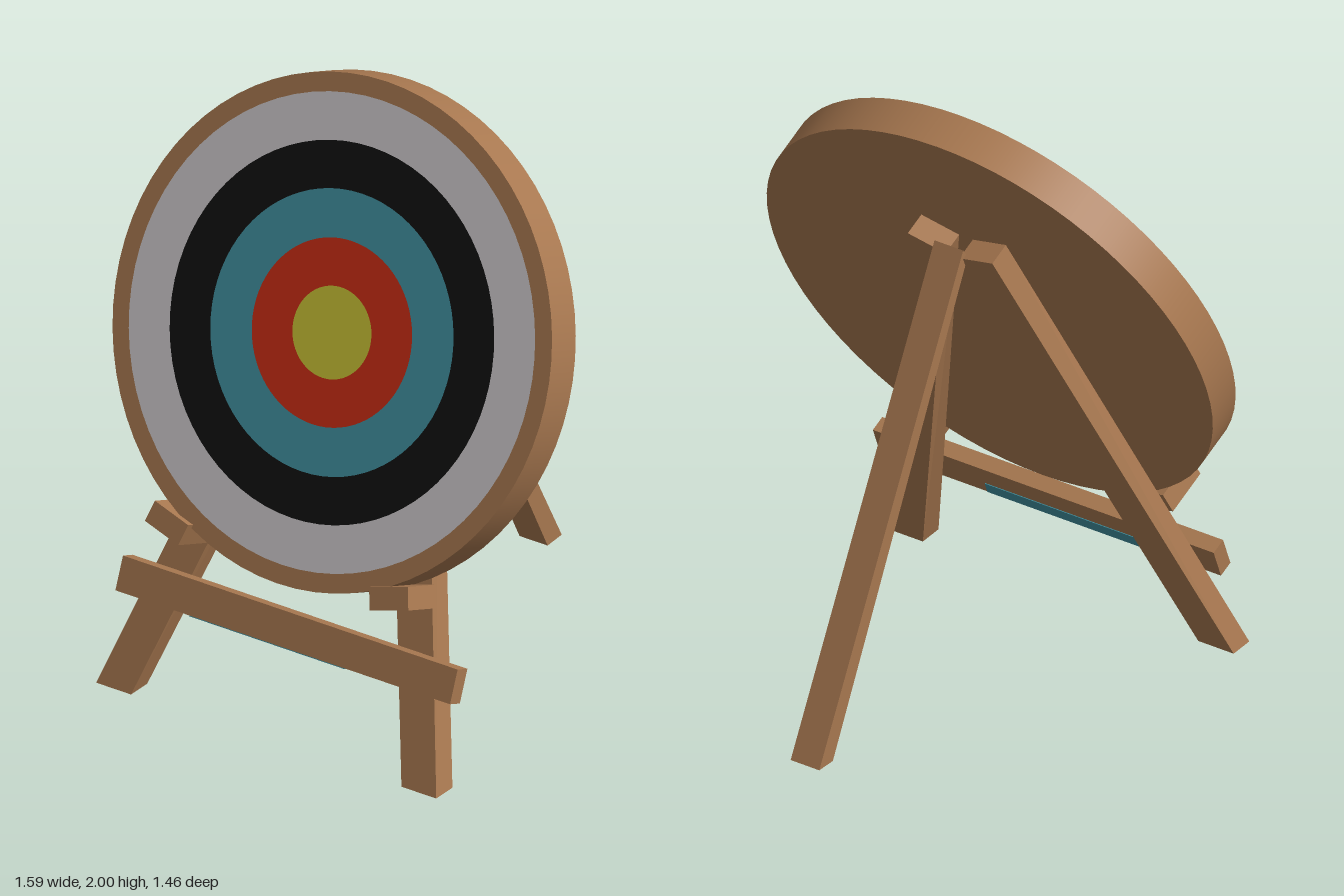
import * as THREE from 'three';

const mat = (name, color) => {
  const m = new THREE.MeshStandardMaterial({ color });
  m.name = name;
  return m;
};

// Straight beam between two four-cornered ends, corners in the same order:
// front left, front right, back right, back left (seen from the front)
function beam(bottom, top) {
  const p = [...bottom, ...top];
  const quads = [[0, 1, 5, 4], [1, 2, 6, 5], [2, 3, 7, 6], [3, 0, 4, 7], [4, 5, 6, 7], [3, 2, 1, 0]];
  const pos = [];
  for (const [a, b, c, d] of quads) for (const i of [a, b, c, a, c, d]) pos.push(...p[i]);
  const g = new THREE.BufferGeometry();
  g.setAttribute('position', new THREE.Float32BufferAttribute(pos, 3));
  g.computeVertexNormals();
  return g;
}

export function createModel() {
  const wood = mat('wood', 0xa87850);
  const white = mat('white', 0xcecacc);
  const black = mat('black', 0x101010);
  const blue = mat('blue', 0x40909f);
  const red = mat('red', 0xca2c13);
  const yellow = mat('yellow', 0xc8c034);

  const model = new THREE.Group();
  model.name = 'archeryTarget';

  const add = (parent, name, geometry, material, x = 0, y = 0, z = 0) => {
    const m = new THREE.Mesh(geometry, material);
    m.name = name;
    m.position.set(x, y, z);
    parent.add(m);
    return m;
  };

  // Leaning front: origin at the centre of the target face
  const front = new THREE.Group();
  front.name = 'leaningFront';
  front.position.set(0, 1.26, 0.388);
  front.rotation.x = -0.37;
  model.add(front);

  // Wooden disc
  const R = 0.795, T = 0.133;
  const discGeo = new THREE.CylinderGeometry(R, R, T, 72).rotateX(Math.PI / 2);
  add(front, 'disc', discGeo, wood, 0, 0, -T / 2);

  // Painted rings
  const rings = [
    ['yellowCentre', 0, 0.143, yellow],
    ['redRing', 0.143, 0.29, red],
    ['blueRing', 0.29, 0.44, blue],
    ['blackRing', 0.44, 0.587, black],
    ['whiteRing', 0.587, 0.735, white],
  ];
  for (const [name, inner, outer, material] of rings) {
    const g = inner ? new THREE.RingGeometry(inner, outer, 72) : new THREE.CircleGeometry(outer, 72);
    add(front, name, g, material, 0, 0, 0.002);
  }

  // Front legs and the ledges that carry the disc
  const zf = -T, zb = -T - 0.079;
  for (const s of [-1, 1]) {
    const side = s > 0 ? 'left' : 'right';
    const outerX = [0.635, 0.155], innerX = [0.505, 0.025];
    const end = (k, yf, yb, skew) => {
      const [x0, x1] = s > 0 ? [innerX[k], outerX[k]] : [-outerX[k], -innerX[k]];
      const d = s * skew;
      return [[x0, yf - d, zf], [x1, yf + d, zf], [x1, yb + d, zb], [x0, yb - d, zb]];
    };
    add(front, side + 'FrontLeg', beam(end(0, -1.299, -1.268, 0), end(1, 0.375, 0.375, 0.018)), wood);

    const ledge = add(front, side + 'Ledge', new THREE.BoxGeometry(0.14, 0.072, 0.16), wood,
      s * 0.415, -0.722, -T + 0.08);
    ledge.rotation.z = s * 0.28;
  }

  // Crossbar with painted patches on its back and underside
  const barY = -0.94, barZ = -T + 0.028;
  add(front, 'crossbar', new THREE.BoxGeometry(1.25, 0.11, 0.055), wood, 0.02, barY, barZ);
  add(front, 'crossbarUnderPaint', new THREE.BoxGeometry(0.58, 0.004, 0.05), blue, -0.04, barY - 0.056, barZ);
  add(front, 'crossbarBackPaint', new THREE.BoxGeometry(0.58, 0.04, 0.004), blue, -0.04, barY - 0.034, barZ - 0.028);

  // Rear leg
  const section = (zFront, yFront, zBack, yBack) =>
    [[-0.04, yFront, zFront], [0.065, yFront, zFront], [0.065, yBack, zBack], [-0.04, yBack, zBack]];
  add(model, 'rearLeg', beam(section(-0.648, 0.085, -0.722, 0.09), section(0.085, 1.515, 0.06, 1.55)), wood);

  return model;
}
